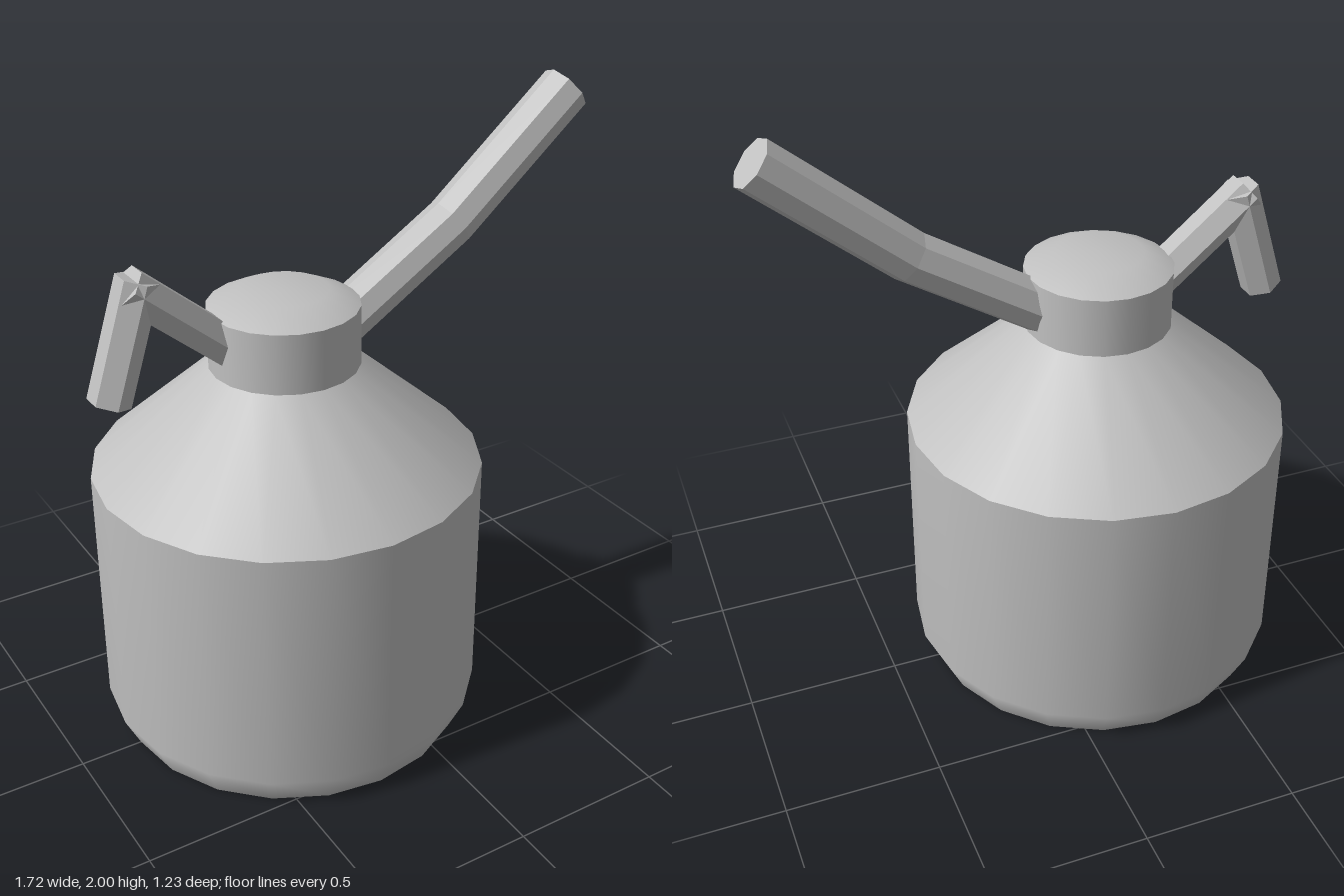
import * as THREE from 'three';

const metal = new THREE.MeshStandardMaterial({ color: 0xc0c0c0 });
metal.name = 'grey metal';

const CENTRE_X = -0.23;

// Band turned around the can's axis: smooth inside, sharp where bands meet
function turned(name, profile) {
  const points = profile.map(([r, y]) => new THREE.Vector2(r, y));
  const mesh = new THREE.Mesh(new THREE.LatheGeometry(points, 20), metal);
  mesh.name = name;
  mesh.position.x = CENTRE_X;
  return mesh;
}

// Faceted rod whose rings follow a path in the x-y plane
function rod(name, path, radius, sides) {
  const last = path.length - 1;
  const points = path.map(([x, y]) => new THREE.Vector2(x, y));
  const rings = points.map((p, i) => {
    const t = new THREE.Vector2();
    if (i > 0) t.add(p.clone().sub(points[i - 1]).normalize());
    if (i < last) t.add(points[i + 1].clone().sub(p).normalize());
    return { p, t: t.normalize() };
  });
  let geometry = new THREE.CylinderGeometry(radius, radius, last, sides, last);
  const pos = geometry.attributes.position;
  for (let i = 0; i < pos.count; i++) {
    const { p, t } = rings[Math.round(pos.getY(i) + last / 2)];
    const across = pos.getX(i);
    pos.setXYZ(i, p.x + across * t.y, p.y - across * t.x, pos.getZ(i));
  }
  geometry = geometry.toNonIndexed();
  geometry.computeVertexNormals();
  const mesh = new THREE.Mesh(geometry, metal);
  mesh.name = name;
  return mesh;
}

export function createModel() {
  const can = new THREE.Group();
  can.name = 'oilCan';

  // Container
  can.add(
    turned('base', [[0, 0], [0.567, 0]]),
    turned('body', [[0.567, 0], [0.615, 0.1], [0.615, 0.905]]),
    turned('shoulder', [[0.615, 0.905], [0.235, 1.238]]),
    turned('neck', [[0.235, 1.238], [0.235, 1.43]]),
    turned('cap', [[0.235, 1.43], [0.14, 1.475], [0, 1.475]])
  );

  // Octagonal spout with a slight bend
  can.add(rod('spout', [[-0.08, 1.29], [0.375, 1.572], [0.807, 1.935]], 0.082, 8));

  // Hexagonal handle: an arm from the neck and a grip hanging from it
  const handle = new THREE.Group();
  handle.name = 'handle';
  handle.add(
    rod('handleArm', [[-0.38, 1.3], [-0.732, 1.596]], 0.066, 6),
    rod('handleGrip', [[-0.695, 1.61], [-0.81, 1.248]], 0.066, 6)
  );
  can.add(handle);

  return can;
}
